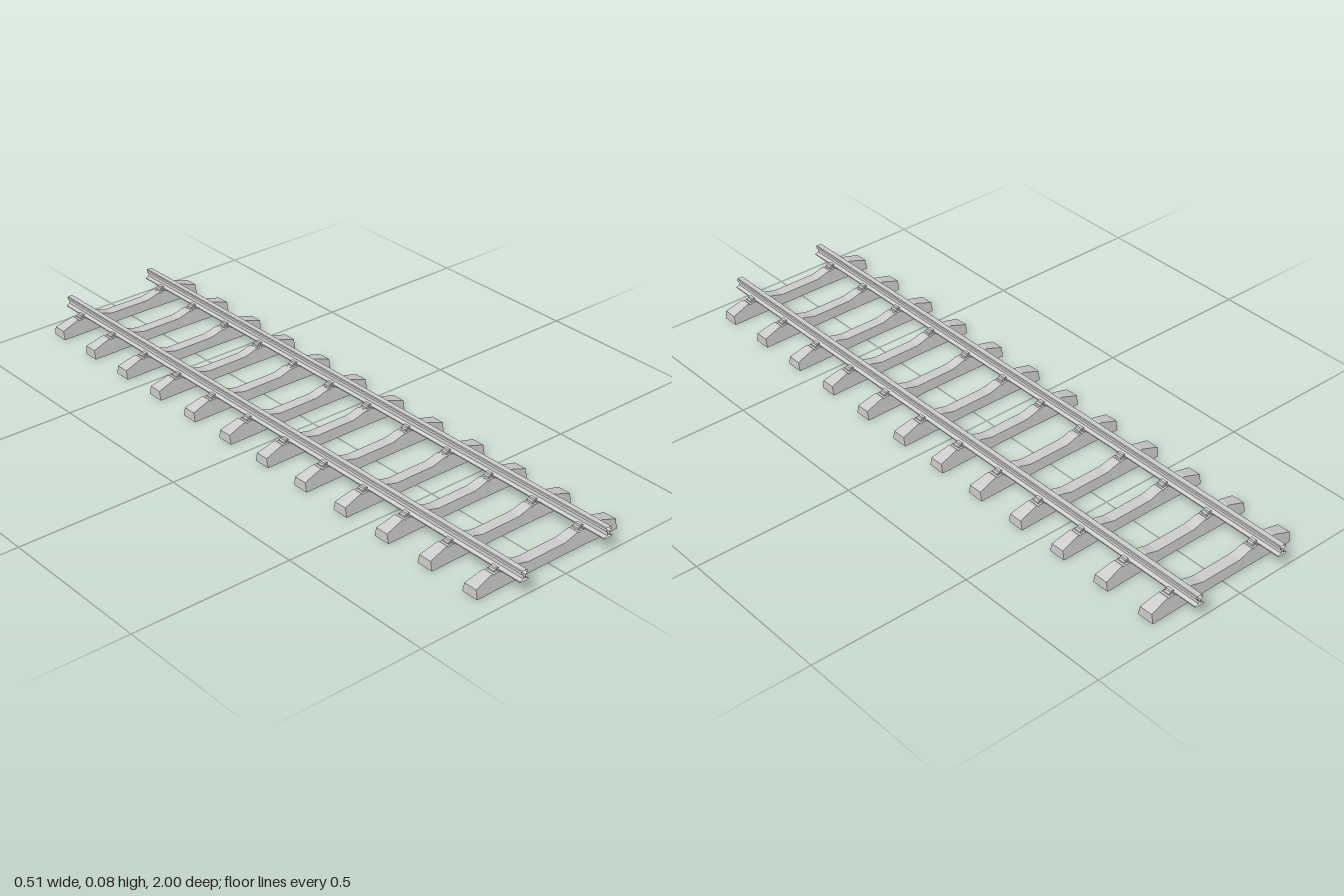
import * as THREE from 'three';

const concrete = new THREE.MeshStandardMaterial({ color: 0xcccccc, flatShading: true });
const steel = new THREE.MeshStandardMaterial({ color: 0xcccccc, flatShading: true, side: THREE.DoubleSide });

const RAIL_X = 0.153;
const SLEEPERS = 12;
const FIRST_Z = -0.913;

// Skins a row of equal rings of [x, y, z] points; four-sided rings can be capped
function loft(rings, capped) {
  const n = rings[0].length;
  const index = [];
  for (let i = 0; i < rings.length - 1; i++) {
    for (let j = 0; j < n; j++) {
      const k = (j + 1) % n;
      const a = i * n + j, b = i * n + k, c = b + n, d = a + n;
      index.push(a, b, c, a, c, d);
    }
  }
  if (capped) {
    const e = (rings.length - 1) * n;
    index.push(0, 2, 1, 0, 3, 2, e, e + 1, e + 2, e, e + 2, e + 3);
  }
  const geometry = new THREE.BufferGeometry();
  geometry.setAttribute('position', new THREE.Float32BufferAttribute(rings.flat(2), 3));
  geometry.setIndex(index);
  const flat = geometry.toNonIndexed();
  flat.computeVertexNormals();
  return flat;
}

// Sleeper: height along one half, with sides that lean in as they rise
function sleeperGeometry() {
  const half = [
    // x, height, half width at the base
    [0.067, 0.03, 0.024], [0.085, 0.034, 0.024], [0.105, 0.04, 0.025],
    [0.117, 0.041, 0.025], [0.12, 0.039, 0.025], [0.124, 0.042, 0.025],
    [0.184, 0.044, 0.026], [0.188, 0.041, 0.026], [0.192, 0.045, 0.026],
    [0.2, 0.045, 0.026], [0.255, 0.028, 0.027],
  ];
  const left = half.map(([x, h, w]) => [-x, h, w]).reverse();
  const rings = [...left, ...half].map(([x, h, w]) => {
    const top = w - h * 0.21;
    return [[x, 0, -w], [x, h, -top], [x, h, top], [x, 0, w]];
  });
  return loft(rings, true);
}

// Rail: foot, web and head, open at both ends
function railGeometry() {
  const half = [
    [0.015, 0.045], [0.015, 0.048], [0.004, 0.052], [0.003, 0.063],
    [0.01, 0.067], [0.01, 0.075], [0.008, 0.077],
  ];
  const profile = [...half, ...half.map(([x, y]) => [-x, y]).reverse()];
  return loft([-1, 1].map((z) => profile.map(([x, y]) => [x, y, z])), false);
}

// Clip: stepped spring that grips the rail foot, drawn for the +x side
function clipGeometry() {
  const shape = new THREE.Shape([
    [0.031, 0.042], [0.031, 0.048], [0.028, 0.05], [0.025, 0.05], [0.023, 0.054],
    [0.014, 0.054], [0.014, 0.05], [0.019, 0.049], [0.021, 0.046], [0.021, 0.042],
  ].map(([x, y]) => new THREE.Vector2(x, y)));
  return new THREE.ExtrudeGeometry(shape, { depth: 0.02, bevelEnabled: false }).translate(0, 0, -0.01);
}

export function createModel() {
  const model = new THREE.Group();
  model.name = 'railwayTrack';

  const add = (parent, geometry, material, name) => {
    const mesh = new THREE.Mesh(geometry, material);
    mesh.name = name;
    parent.add(mesh);
    return mesh;
  };

  const sleeper = sleeperGeometry();
  const rail = railGeometry();
  const clip = clipGeometry();
  const pad = new THREE.BoxGeometry(0.036, 0.004, 0.03);

  // Two rails
  for (const side of [-1, 1]) {
    add(model, rail, steel, side > 0 ? 'leftRail' : 'rightRail').position.x = side * RAIL_X;
  }

  // Sleepers, each with a pad and two clips under both rails
  for (let i = 0; i < SLEEPERS; i++) {
    const tie = new THREE.Group();
    tie.name = `sleeperAssembly${i + 1}`;
    tie.position.z = FIRST_Z + (i * -2 * FIRST_Z) / (SLEEPERS - 1);
    add(tie, sleeper, concrete, 'sleeper');
    for (const side of [-1, 1]) {
      const fastening = new THREE.Group();
      fastening.name = 'railFastening';
      fastening.position.x = side * RAIL_X;
      add(fastening, pad, concrete, 'railPad').position.y = 0.0428;
      add(fastening, clip, concrete, 'outerClip').rotation.y = side > 0 ? 0 : Math.PI;
      add(fastening, clip, concrete, 'innerClip').rotation.y = side > 0 ? Math.PI : 0;
      tie.add(fastening);
    }
    model.add(tie);
  }
  return model;
}
